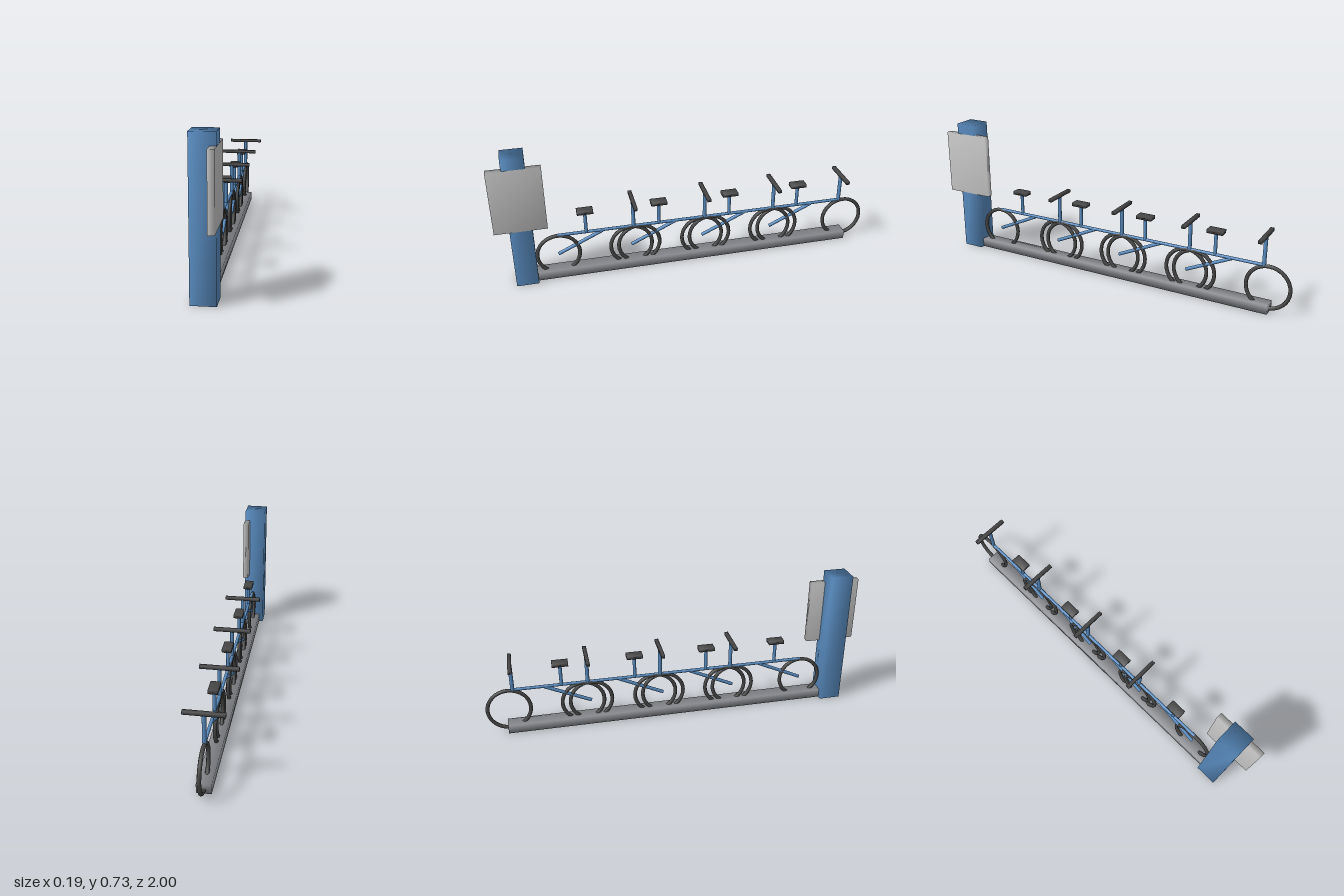
import * as THREE from 'three';
import { mergeVertices } from 'three/addons/utils/BufferGeometryUtils.js';

const mat = (color) => new THREE.MeshStandardMaterial({ color });
const blue = mat(0x5b8fc4), dark = mat(0x484848), railGrey = mat(0x85878c), grey = mat(0xcccccc);

// Box with shared corners, giving soft shading across its edges
function softBox(name, material, [w, h, d], [x, y, z]) {
  let geo = new THREE.BoxGeometry(w, h, d);
  geo.deleteAttribute('normal');
  geo.deleteAttribute('uv');
  geo = mergeVertices(geo);
  geo.computeVertexNormals();
  const mesh = new THREE.Mesh(geo, material);
  mesh.name = name;
  mesh.position.set(x, y, z);
  return mesh;
}

// Round bar between two points of the x = 0 plane, given as [y, z]
function bar(name, from, to, radius) {
  const a = new THREE.Vector3(0, ...from), b = new THREE.Vector3(0, ...to);
  const dir = b.clone().sub(a);
  const mesh = new THREE.Mesh(new THREE.CylinderGeometry(radius, radius, dir.length(), 12), blue);
  mesh.name = name;
  mesh.position.copy(a).add(b).multiplyScalar(0.5);
  mesh.quaternion.setFromUnitVectors(new THREE.Vector3(0, 1, 0), dir.normalize());
  return mesh;
}

function wheel(name, z) {
  const mesh = new THREE.Mesh(new THREE.TorusGeometry(0.11, 0.01, 8, 32), dark);
  mesh.name = name;
  mesh.rotation.y = Math.PI / 2;
  mesh.position.set(0, 0.128, z);
  return mesh;
}

// Bicycle with its rear wheel at z = 0, heading towards -z
function bicycle() {
  const bike = new THREE.Group();
  bike.name = 'bicycle';
  bike.add(
    wheel('rearWheel', 0),
    wheel('frontWheel', -0.425),
    bar('topTube', [0.241, 0], [0.241, -0.405], 0.008),
    bar('lowerTube', [0.128, 0], [0.238, -0.235], 0.009),
    bar('seatPost', [0.24, -0.15], [0.36, -0.15], 0.009),
    softBox('seat', dark, [0.048, 0.019, 0.083], [0, 0.366, -0.15]),
    bar('handlebarStem', [0.24, -0.398], [0.388, -0.398], 0.01),
    softBox('handlebar', dark, [0.19, 0.016, 0.019], [0, 0.392, -0.398]),
  );
  return bike;
}

export function createModel() {
  const model = new THREE.Group();
  model.name = 'bikeStation';

  // Ground rail, terminal post and its sign panel
  model.add(
    softBox('rail', railGrey, [0.07, 0.046, 1.79], [0, 0.024, 0]),
    softBox('post', blue, [0.115, 0.727, 0.113], [0, 0.3635, 0.868]),
    softBox('signPanel', grey, [0.03, 0.343, 0.263], [0.045, 0.4985, 0.8685]),
  );

  // Row of parked bicycles
  for (let i = 0; i < 4; i++) {
    const bike = bicycle();
    bike.position.z = 0.695 - i * 0.3833;
    model.add(bike);
  }
  return model;
}
